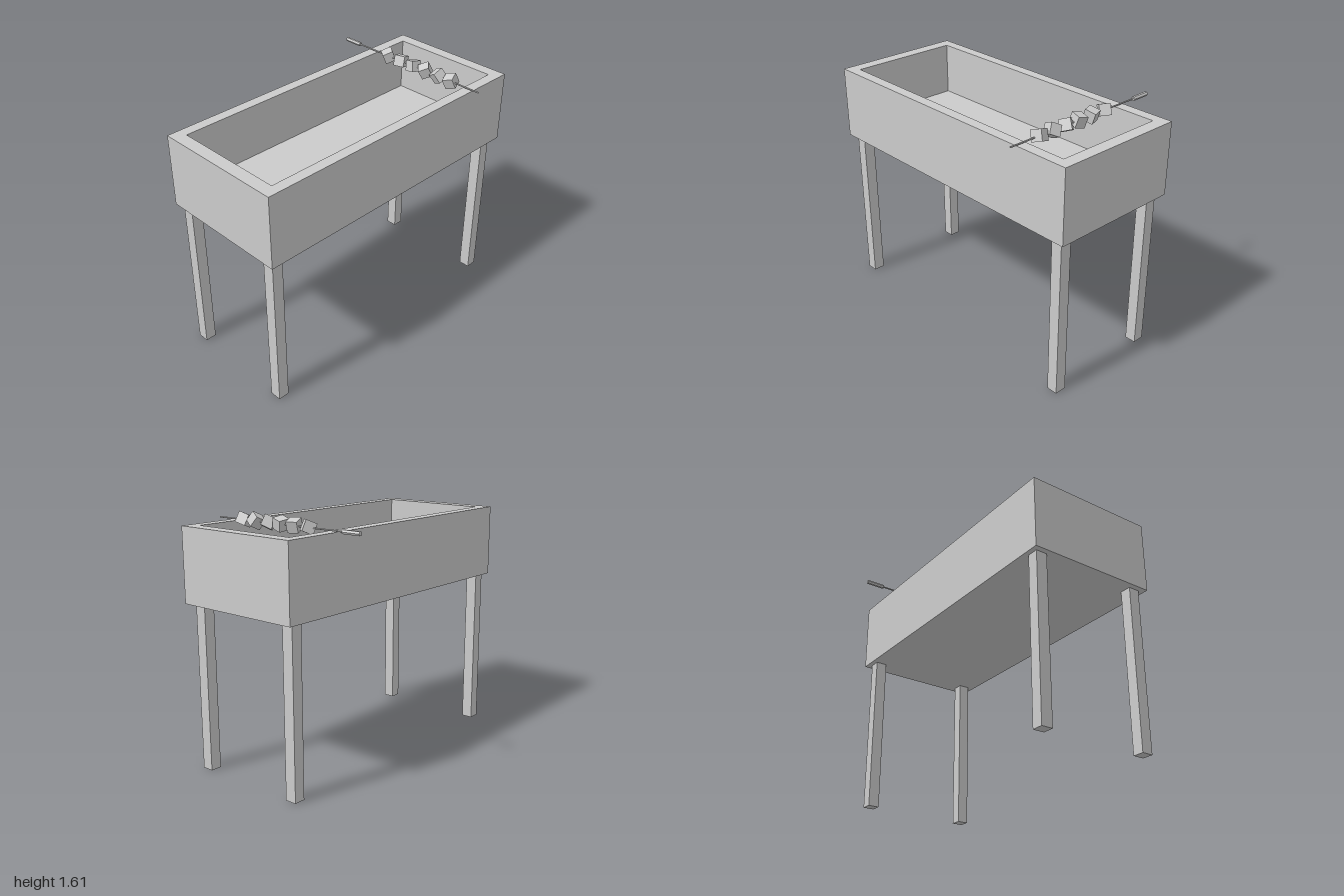
import * as THREE from 'three';

const material = new THREE.MeshStandardMaterial({ color: 0xcccccc, flatShading: true });

function addMesh(parent, name, geometry, x, y, z) {
  const mesh = new THREE.Mesh(geometry, material);
  mesh.name = name;
  mesh.position.set(x, y, z);
  parent.add(mesh);
  return mesh;
}

// Rectangle outline in plan; shape y becomes -z once laid flat
function rectangle(target, x0, x1, z0, z1) {
  target.moveTo(x0, -z1);
  target.lineTo(x1, -z1);
  target.lineTo(x1, -z0);
  target.lineTo(x0, -z0);
  target.closePath();
  return target;
}

export function createModel() {
  const model = new THREE.Group();
  model.name = 'grill';

  const bottom = 1.062, rim = 1.532, floorTop = 1.19;
  const inner = { x0: -0.294, x1: 0.439, z0: -0.92, z1: 0.917 };

  // Trough walls: a rectangular ring extruded upward
  const outline = rectangle(new THREE.Shape(), -0.365, 0.509, -1, 1);
  outline.holes.push(rectangle(new THREE.Path(), inner.x0, inner.x1, inner.z0, inner.z1));
  const walls = new THREE.ExtrudeGeometry(outline, { depth: rim - bottom, bevelEnabled: false });
  walls.rotateX(-Math.PI / 2);
  addMesh(model, 'troughWalls', walls, 0, bottom, 0);

  // Trough floor fills the ring
  addMesh(model, 'troughFloor',
    new THREE.BoxGeometry(inner.x1 - inner.x0, floorTop - bottom, inner.z1 - inner.z0),
    (inner.x0 + inner.x1) / 2, (bottom + floorTop) / 2, (inner.z0 + inner.z1) / 2);

  // Four square legs
  const leg = new THREE.BoxGeometry(0.075, bottom, 0.073);
  for (const [side, x] of [['Right', -0.296], ['Left', 0.43]]) {
    for (const [end, z] of [['front', 0.928], ['back', -0.916]]) {
      addMesh(model, `${end}${side}Leg`, leg, x, bottom / 2, z);
    }
  }

  // Skewer lying across the rim
  const skewer = new THREE.Group();
  skewer.name = 'skewer';
  skewer.position.set(0, 1.546, -0.65);
  model.add(skewer);

  const rod = new THREE.CylinderGeometry(0.005, 0.005, 1.005, 6).rotateZ(Math.PI / 2);
  addMesh(skewer, 'skewerRod', rod, 0.0625, 0, 0);
  const handle = new THREE.CylinderGeometry(0.014, 0.014, 0.126, 6)
    .rotateY(Math.PI / 2).rotateX(0).rotateZ(Math.PI / 2);
  handle.rotateX(Math.PI / 2);
  addMesh(skewer, 'skewerHandle', handle, -0.503, 0, 0);

  // Tumbled meat cubes: x position, then pitch, yaw and roll in degrees
  const cube = new THREE.BoxGeometry(0.07, 0.07, 0.07);
  const cubes = [
    [-0.183, 28, -35, 12],
    [-0.071, -18, 17, 4],
    [0.037, -10, -12, 12],
    [0.138, 18, 40, 14],
    [0.246, 25, -8, 32],
    [0.347, 18, 18, 12],
  ];
  cubes.forEach(([x, pitch, yaw, roll], i) => {
    const chunk = addMesh(skewer, `meatCube${i + 1}`, cube, x, 0.003, 0);
    chunk.rotation.set(...[pitch, yaw, roll].map(THREE.MathUtils.degToRad));
  });

  return model;
}
